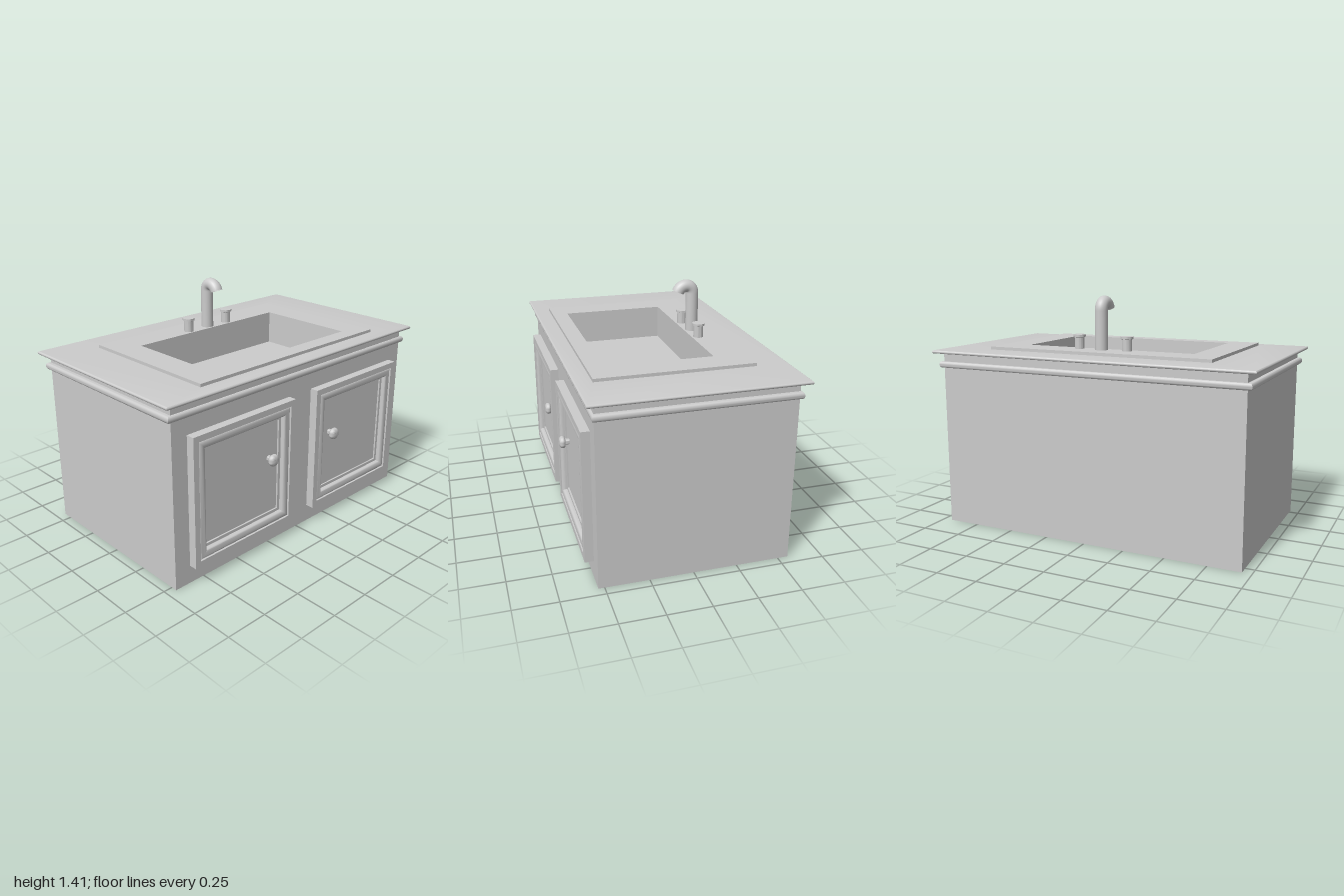
import * as THREE from 'three';
import { toCreasedNormals } from 'three/addons/utils/BufferGeometryUtils.js';

const grey = new THREE.MeshStandardMaterial({ color: 0xcccccc });
const greyDouble = new THREE.MeshStandardMaterial({ color: 0xcccccc, side: THREE.DoubleSide });

function addMesh(parent, name, geometry, material = grey) {
  const mesh = new THREE.Mesh(geometry, material);
  mesh.name = name;
  parent.add(mesh);
  return mesh;
}

// Rectangle grown outward by g, placed at height y.
const ring = ([x0, x1, z0, z1], g, y) => [x0 - g, x1 + g, z0 - g, z1 + g, y];

// Skin a stack of rectangles with mitred corners.
function loft(rings, capStart, capEnd) {
  const pos = [];
  const index = [];
  for (const [x0, x1, z0, z1, y] of rings) {
    pos.push(x0, y, z1, x1, y, z1, x1, y, z0, x0, y, z0);
  }
  for (let r = 0; r < rings.length - 1; r++) {
    for (let i = 0; i < 4; i++) {
      const a = r * 4 + i, b = r * 4 + (i + 1) % 4;
      index.push(a, b, b + 4, a, b + 4, a + 4);
    }
  }
  const e = (rings.length - 1) * 4;
  if (capStart) index.push(0, 2, 1, 0, 3, 2);
  if (capEnd) index.push(e, e + 1, e + 2, e, e + 2, e + 3);
  const geo = new THREE.BufferGeometry();
  geo.setAttribute('position', new THREE.Float32BufferAttribute(pos, 3));
  geo.setIndex(index);
  return toCreasedNormals(geo, 0.6);
}

// Half-round bulge on the edge of a rectangle, from y0 up to y1.
function roundEdge(rect, y0, y1, bulge, steps = 8) {
  return Array.from({ length: steps + 1 }, (_, i) => {
    const a = -Math.PI / 2 + Math.PI * i / steps;
    return ring(rect, bulge * (Math.cos(a) - 1), (y0 + y1) / 2 + (y1 - y0) / 2 * Math.sin(a));
  });
}

const lathe = (pts, crease = 0.6) => toCreasedNormals(
  new THREE.LatheGeometry(pts.map(([r, y]) => new THREE.Vector2(r, y)), 28), crease);

function makeDoor() {
  const door = new THREE.Group();
  const rect = [-0.377, 0.377, -0.383, 0.383];
  // Raised border, half-round bead and recessed panel: inset, depth
  const profile = [[0, 0], [0, 0.05], [0.035, 0.05], [0.035, 0.034]];
  for (let i = 1; i < 8; i++) {
    const a = Math.PI * i / 8;
    profile.push([0.06 - 0.025 * Math.cos(a), 0.034 + 0.014 * Math.sin(a)]);
  }
  profile.push([0.085, 0.034], [0.085, 0.02], [0.103, 0.02], [0.103, 0.01]);
  const geo = loft(profile.map(([inset, d]) => ring(rect, -inset, d)), true, true);
  geo.rotateX(Math.PI / 2);
  addMesh(door, 'doorPanel', geo);
  return door;
}

export function createModel() {
  const model = new THREE.Group();
  model.name = 'vanity';

  const body = [-0.945, 0.945, -0.56, 0.535];
  const top = [-1, 1, -0.605, 0.58];
  const rim = [-0.705, 0.705, -0.415, 0.485];
  const bowl = [-0.537, 0.537, -0.23, 0.39];

  // Cabinet, open at the top where the basin drops in
  addMesh(model, 'cabinet', loft([ring(body, 0, 0), ring(body, 0, 1.06)], true, false));

  // Rounded moulding around the cabinet
  const band = [-0.972, 0.972, -0.575, 0.55];
  addMesh(model, 'moulding', loft([
    ring(body, 0, 0.97), ...roundEdge(band, 0.97, 1.008, 0.012), ring(body, 0, 1.008),
  ], false, false));

  // Countertop with rounded edge and a cut-out
  addMesh(model, 'countertop', loft([
    ring(body, 0, 1.058), ...roundEdge(top, 1.058, 1.077, 0.008), ring(rim, 0, 1.077),
  ], false, false));

  // Sink rim and rectangular basin
  addMesh(model, 'sink', loft([
    ring(rim, 0, 1.077), ring(rim, 0, 1.095), ring(bowl, 0, 1.095), ring(bowl, 0, 0.89),
  ], false, true));

  // Faucet: upright pipe bending over towards the basin
  const path = new THREE.CurvePath();
  const v = (y, z) => new THREE.Vector3(0.02, y, z);
  path.add(new THREE.LineCurve3(v(1.09, -0.278), v(1.325, -0.278)));
  path.add(new THREE.CubicBezierCurve3(
    v(1.325, -0.278), v(1.383, -0.278), v(1.384, -0.21), v(1.335, -0.189)));
  addMesh(model, 'faucet', new THREE.TubeGeometry(path, 60, 0.0375, 24), greyDouble);

  // Tap handles
  for (const x of [-0.14, 0.17]) {
    const handle = addMesh(model, 'tapHandle', lathe([
      [0, 1.095], [0.029, 1.095], [0.029, 1.163], [0.037, 1.166], [0.037, 1.179], [0, 1.18],
    ]));
    handle.position.set(x, 0, -0.27);
  }

  // Doors with knobs near the middle of the cabinet
  for (const side of [-1, 1]) {
    const door = makeDoor();
    door.name = side < 0 ? 'rightDoor' : 'leftDoor';
    door.position.set(side < 0 ? -0.468 : 0.469, 0.49, 0.535);
    const knobGeo = lathe([
      [0, 0], [0.017, 0], [0.017, 0.034], [0.03, 0.037], [0.035, 0.044],
      [0.036, 0.052], [0.033, 0.061], [0.025, 0.067], [0.012, 0.07], [0, 0.07],
    ], 0.9);
    knobGeo.rotateX(Math.PI / 2);
    const knob = addMesh(door, 'knob', knobGeo);
    knob.position.set(-side * 0.206, 0.063, 0);
    model.add(door);
  }
  return model;
}
